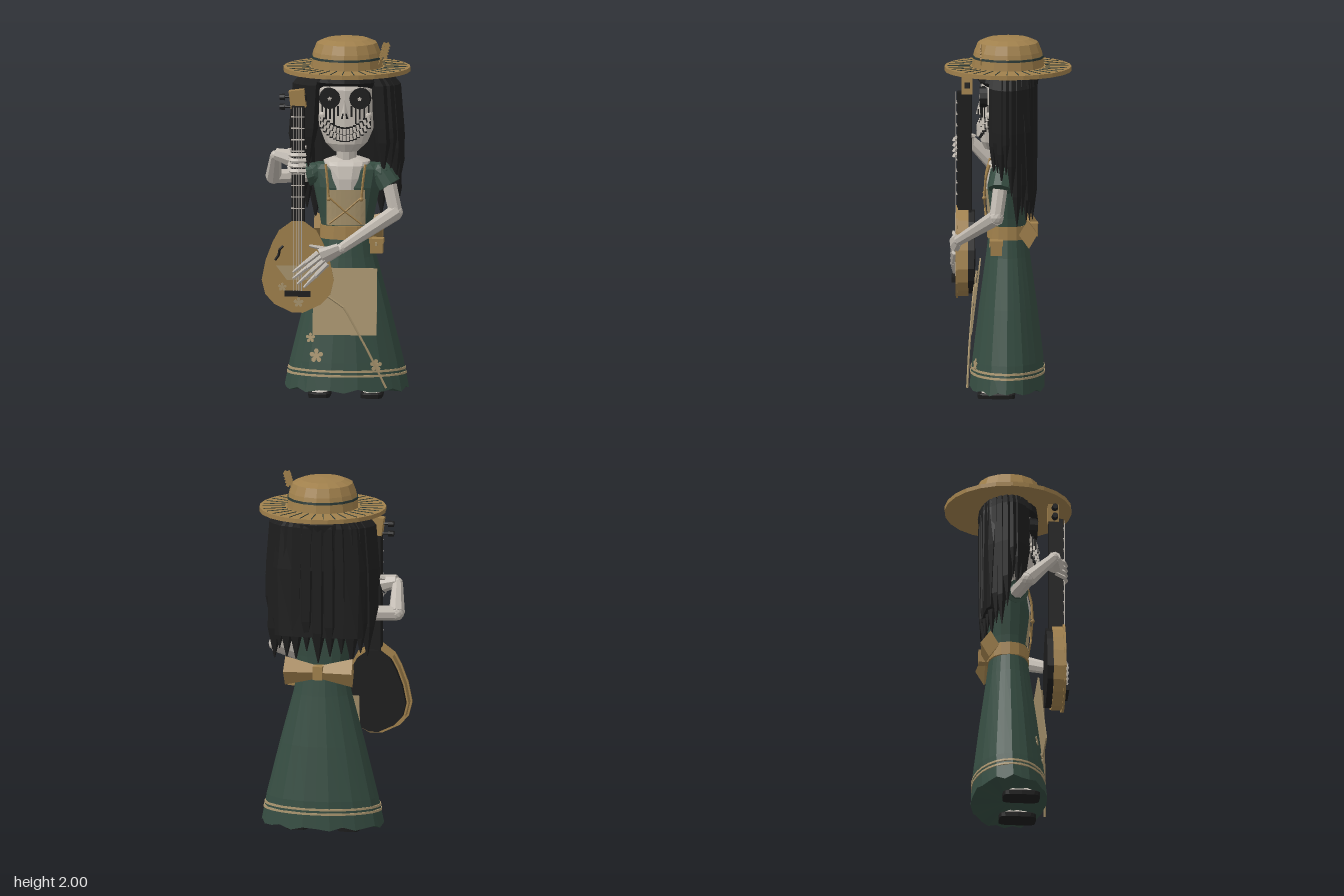
import * as THREE from 'three';

const V = (x, y, z) => new THREE.Vector3(x, y, z);
const mat = (name, color) => { const m = new THREE.MeshStandardMaterial({ color }); m.name = name; return m; };
const CX = 0.05; // the figure stands slightly off centre, the lute balances it

// Faceted copy of a geometry
function flat(g) {
  const f = g.index ? g.toNonIndexed() : g;
  f.computeVertexNormals();
  return f;
}
function add(parent, name, geo, material, x = 0, y = 0, z = 0) {
  const m = new THREE.Mesh(flat(geo), material);
  m.name = name;
  m.position.set(x, y, z);
  parent.add(m);
  return m;
}
const box = (p, name, m, w, h, d, x, y, z) => add(p, name, new THREE.BoxGeometry(w, h, d), m, x, y, z);

// Tapered bar between two points
function limb(p, name, m, a, b, r1, r2, sides = 7) {
  const d = b.clone().sub(a), c = a.clone().add(b).multiplyScalar(0.5);
  const o = add(p, name, new THREE.CylinderGeometry(r2, r1, d.length(), sides), m, c.x, c.y, c.z);
  o.quaternion.setFromUnitVectors(V(0, 1, 0), d.normalize());
  return o;
}
const ball = (p, name, m, c, r) => add(p, name, new THREE.IcosahedronGeometry(r, 1), m, c.x, c.y, c.z);
function cord(p, name, m, pts, r) {
  const c = new THREE.CatmullRomCurve3(pts, false, 'catmullrom', 0.1);
  return add(p, name, new THREE.TubeGeometry(c, pts.length * 4, r, 4), m);
}

// Cross-section [y, rx, rz, cx, cz], rounded-square with power p
function pt([y, rx, rz, cx = 0, cz = 0], a, p, k = 1) {
  const f = v => Math.sign(v) * Math.pow(Math.abs(v), 2 / p) * k;
  return V(cx + rx * f(Math.cos(a)), y, cz + rz * f(Math.sin(a)));
}
// Skin over sections listed from bottom to top
function loft(secs, n = 16, p = 2, pleat = 0) {
  const pos = [], tri = (...v) => v.forEach(q => pos.push(q.x, q.y, q.z));
  const rings = secs.map((s, j) => Array.from({ length: n }, (_, i) => {
    const q = pt(s, i / n * Math.PI * 2, p, 1 - (i % 2) * pleat);
    if (pleat && j === 0) q.y += 0.012 * Math.sin(i * 2.4);
    return q;
  }));
  const mid = s => V(s[3] || 0, s[0], s[4] || 0), last = secs.length - 1;
  for (let i = 0; i < n; i++) {
    const k = (i + 1) % n;
    for (let j = 0; j < last; j++) {
      const A = rings[j], B = rings[j + 1];
      tri(A[i], B[i], B[k]);
      tri(A[i], B[k], A[k]);
    }
    tri(mid(secs[0]), rings[0][i], rings[0][k]);
    tri(mid(secs[last]), rings[last][k], rings[last][i]);
  }
  return new THREE.BufferGeometry().setAttribute('position', new THREE.Float32BufferAttribute(pos, 3));
}
function sectionAt(secs, y) {
  let j = 0;
  while (j < secs.length - 2 && secs[j + 1][0] < y) j++;
  const a = secs[j], b = secs[j + 1], t = THREE.MathUtils.clamp((y - a[0]) / (b[0] - a[0]), 0, 1);
  return [0, 1, 2, 3, 4].map(i => THREE.MathUtils.lerp(a[i] || 0, b[i] || 0, t));
}
// Front surface depth of a loft
function zAt(secs, x, y, p) {
  const s = sectionAt(secs, y), u = Math.min(Math.abs(x / s[1]), 0.97);
  return s[4] + s[2] * Math.pow(1 - Math.pow(u, p), 1 / p);
}
// Cloth panel draped over a loft
function drape(secs, p, x0, x1, y0, y1, off) {
  const g = new THREE.PlaneGeometry(x1 - x0, y1 - y0, 8, 4).translate((x0 + x1) / 2, (y0 + y1) / 2, 0), q = g.attributes.position;
  for (let i = 0; i < q.count; i++) q.setZ(i, zAt(secs, q.getX(i), q.getY(i), p) + off);
  return g;
}
// Five-petalled plate
function petals(R) {
  const pts = Array.from({ length: 40 }, (_, i) => {
    const a = i / 40 * Math.PI * 2, r = R * (0.3 + 0.7 * Math.sqrt(Math.abs(Math.cos(2.5 * a))));
    return new THREE.Vector2(r * Math.sin(a), r * Math.cos(a));
  });
  return new THREE.ExtrudeGeometry(new THREE.Shape(pts), { depth: 0.004, bevelEnabled: false });
}

export function createModel() {
  const root = new THREE.Group(), fig = new THREE.Group();
  root.name = 'skeletonMusician'; fig.name = 'figure';
  fig.position.x = CX;
  root.add(fig);
  const straw = mat('straw', 0xa0804c), green = mat('dressGreen', 0x364d42), black = mat('black', 0x1d1d1d),
    bone = mat('bone', 0xc2bbb2), linen = mat('linen', 0xa8946e), band = mat('darkGreen', 0x2c3a36);
  linen.side = THREE.DoubleSide;

  // Hat
  add(fig, 'hatBrim', new THREE.CylinderGeometry(0.352, 0.352, 0.024, 24), straw, 0, 1.823, 0);
  const crown = [[0.2, 1.83], [0.195, 1.885], [0.187, 1.92], [0.167, 1.97], [0.12, 1.99], [0, 2]].map(a => new THREE.Vector2(...a));
  add(fig, 'hatCrown', new THREE.LatheGeometry(crown, 16), straw);
  add(fig, 'hatBand', new THREE.CylinderGeometry(0.197, 0.199, 0.012, 16, 1), band, 0, 1.889, 0);
  for (let i = 0; i < 32; i++) {
    const a = i / 32 * Math.PI * 2;
    box(fig, 'brimStitch', band, 0.125, 0.004, 0.004, 0.272 * Math.cos(a), 1.836, 0.272 * Math.sin(a)).rotation.y = -a;
  }
  limb(fig, 'featherStem', straw, V(0.19, 1.87, 0.147), V(0.225, 1.99, 0.147), 0.004, 0.003, 4);
  for (let i = 0; i < 5; i++) for (const s of [-1, 1])
    box(fig, 'featherBarb', straw, 0.02, 0.026, 0.006, 0.213 + i * 0.004 + s * 0.01, 1.915 + i * 0.016, 0.147).rotation.z = s * 0.5;

  // Skull
  const head = [[1.375, 0.07, 0.07, 0, 0.06], [1.42, 0.118, 0.113, 0, 0.04], [1.5, 0.152, 0.14, 0, 0.015], [1.6, 0.165, 0.15], [1.72, 0.162, 0.15], [1.8, 0.13, 0.12]];
  const hz = (x, y) => zAt(head, x, y, 2.4);
  add(fig, 'skull', loft(head, 16, 2.4), bone);
  for (const s of [-1, 1]) {
    const ex = s * 0.083, ez = hz(ex, 1.68) + 0.008;
    add(fig, 'eyeSocket', new THREE.CylinderGeometry(0.058, 0.062, 0.045, 12).rotateX(Math.PI / 2), black, ex, 1.675, ez - 0.012);
    add(fig, 'eyeSpark', petals(0.012), bone, ex, 1.675, ez + 0.009);
    for (let i = 0; i < 5; i++) {
      const x = ex + (i - 2) * 0.023, h = [0.06, 0.1, 0.075, 0.11, 0.055][i];
      box(fig, 'tearStreak', black, 0.009, h, 0.006, x, 1.635 - h / 2, hz(x, 1.58) + 0.003);
    }
    limb(fig, 'nostril', black, V(s * 0.012, 1.565, 0.161), V(s * 0.008, 1.595, 0.164), 0.009, 0.004, 5);
    ball(fig, 'cheekbone', bone, V(s * 0.125, 1.575, hz(0.125, 1.575) - 0.012), 0.024);
  }
  add(fig, 'nose', new THREE.ConeGeometry(0.026, 0.1, 4), bone, 0, 1.615, 0.152);
  for (let i = -7; i <= 7; i++) {
    const x = i * 0.0185, y = 1.475 + 4 * x * x, z = hz(x, y);
    box(fig, 'mouth', black, 0.021, 0.082, 0.012, x, y, z);
    for (const s of [-1, 1])
      box(fig, 'tooth', bone, 0.0145, 0.03, 0.018, x, y + s * 0.0175, z + 0.01).rotation.z = x * 3;
  }
  add(fig, 'neck', loft([[1.25, 0.065, 0.06, 0, 0.02], [1.32, 0.055, 0.05, 0, 0.02], [1.42, 0.06, 0.055, 0, 0.02]], 10), bone);

  // Hair: cap plus pointed locks round the sides and back
  add(fig, 'hairCap', loft([[1.5, 0.19, 0.1, 0, -0.06], [1.7, 0.2, 0.12, 0, -0.04], [1.76, 0.195, 0.168], [1.815, 0.17, 0.16]], 16, 2.3), black);
  const lock = (a, end, w) => {
    const c = Math.cos(a), s = Math.sin(a), k = s > 0 ? 0.11 : 0.135;
    const sec = (y, r, x) => [y, r, r * 0.7, x * c, k * s];
    add(fig, 'hairLock', loft([sec(end, 0.003, 0.285), sec(end + 0.17, w * 0.9, 0.282), sec(1.5, w, 0.274), sec(1.74, w, 0.255), sec(1.815, w * 0.7, 0.205)], 6), black);
  };
  for (let i = 0; i <= 20; i++) {
    const a = 0.75 - i / 20 * (Math.PI + 1.5), back = Math.max(0, -Math.sin(a));
    lock(a, 1.25 - 0.245 * Math.min(1, back * 2.5) + 0.035 * Math.sin(i * 2.3), 0.046);
  }
  add(fig, 'backHair', loft([[1.12, 0.25, 0.035, 0, -0.115], [1.5, 0.26, 0.05, 0, -0.1], [1.74, 0.24, 0.07, 0, -0.08], [1.81, 0.19, 0.08, 0, -0.07]], 12, 2.4), black);

  // Dress
  const skirt = [[0.045, 0.345, 0.212, 0, 0.005], [0.2, 0.315, 0.2], [0.5, 0.24, 0.163], [0.78, 0.165, 0.124], [0.93, 0.135, 0.105]];
  add(fig, 'skirt', loft(skirt, 28, 2, 0.018), green);
  const bodice = [[0.9, 0.135, 0.1], [1.0, 0.15, 0.105], [1.17, 0.185, 0.118], [1.27, 0.205, 0.1], [1.295, 0.18, 0.075]];
  add(fig, 'bodice', loft(bodice, 16, 2.5), green);
  for (const y of [0.13, 0.155]) {
    const edge = h => { const s = sectionAt(skirt, h); return [h, s[1] * 1.012, s[2] * 1.012, 0, s[4]]; };
    add(fig, 'hemStripe', loft([edge(y - 0.006), edge(y + 0.006)], 28), linen);
  }
  // Flat apron hanging in front of the skirt
  const apron = box(fig, 'apron', linen, 0.355, 0.372, 0.008, 0.003, 0.545, 0.178);
  apron.rotation.x = -0.12;
  box(apron, 'apronPocket', linen, 0.12, 0.09, 0.009, -0.053, 0.01, 0.007);
  add(fig, 'bib', drape(bodice, 2.5, -0.105, 0.11, 0.96, 1.16, 0.008), linen);
  cord(fig, 'apronCord', linen, [V(-0.16, 0.66, 0.175), V(-0.1, 0.58, 0.188), V(0.0, 0.51, 0.195), V(0.13, 0.28, 0.212), V(0.235, 0.07, 0.222)], 0.006);
  for (const [x, y, r] of [[-0.155, 0.24, 0.04], [-0.19, 0.335, 0.028], [0.175, 0.19, 0.034]]) {
    const f = add(fig, 'skirtFlower', petals(r), linen, x, y, zAt(skirt, x, y, 2) + 0.009);
    f.rotation.set(-0.13, x * 1.6, 0);
  }

  // Chest, straps and lacing
  add(fig, 'chest', loft([[1.13, 0.09, 0.124], [1.22, 0.1, 0.124], [1.29, 0.125, 0.108], [1.31, 0.13, 0.085], [1.33, 0.075, 0.055]], 14, 2.8), bone);
  for (const s of [-1, 1]) {
    cord(fig, 'strap', straw, [V(s * 0.11, 1.3, 0.1), V(s * 0.1, 1.22, 0.122), V(s * 0.09, 1.11, 0.13)], 0.007);
    cord(fig, 'lacing', straw, [V(s * 0.09, 1.12, 0.13), V(0, 1.04, 0.128), V(-s * 0.09, 0.97, 0.118)], 0.005);
    ball(fig, 'strapButton', straw, V(s * 0.09, 1.11, 0.13), 0.012);
  }

  // Belt, pouch and back bow
  add(fig, 'belt', loft([[0.88, 0.15, 0.117], [0.955, 0.148, 0.113]], 16, 2.3), straw);
  box(fig, 'pouch', straw, 0.07, 0.065, 0.065, 0.17, 0.835, 0.062);
  box(fig, 'pouchFlap', straw, 0.08, 0.028, 0.074, 0.17, 0.872, 0.062);
  box(fig, 'pouchClasp', linen, 0.012, 0.02, 0.006, 0.17, 0.857, 0.1);
  for (const s of [-1, 1])
    limb(fig, 'bowLoop', straw, V(0, 0.92, -0.125), V(s * 0.19, 0.92, -0.115), 0.035, 0.08, 4).scale.z = 0.65;
  box(fig, 'bowKnot', straw, 0.055, 0.075, 0.08, 0, 0.92, -0.125);

  // Legs and shoes
  for (const s of [-1, 1]) {
    limb(fig, 'leg', bone, V(s * 0.14, 0.03, 0.03), V(s * 0.08, 0.6, 0), 0.035, 0.04);
    add(fig, 'shoe', loft([[0, 0.06, 0.103], [0.022, 0.062, 0.105], [0.03, 0.055, 0.095]], 16, 5), black, s * 0.145, 0, 0.062);
    add(fig, 'footTop', loft([[0.03, 0.05, 0.088], [0.05, 0.035, 0.06]], 12, 3), bone, s * 0.145, 0, 0.058);
  }

  // Sleeves and arms
  const arm = (name, sh, cuff, el, wr) => {
    limb(root, name + 'Sleeve', green, sh, cuff, 0.06, 0.066, 9);
    ball(root, name + 'Shoulder', green, sh, 0.06);
    limb(root, name + 'UpperArm', bone, cuff, el, 0.042, 0.04, 8);
    ball(root, name + 'Elbow', bone, el, 0.042);
    limb(root, name + 'Forearm', bone, el, wr, 0.046, 0.03, 8);
    ball(root, name + 'Wrist', bone, wr, 0.03);
  };
  arm('left', V(0.245, 1.25, 0.03), V(0.29, 1.18, 0.04), V(0.325, 1.03, 0.06), V(0.04, 0.855, 0.27));
  arm('right', V(-0.135, 1.24, 0.03), V(-0.17, 1.23, 0.035), V(-0.35, 1.225, 0.085), V(-0.328, 1.365, 0.225));
  // Strumming hand
  limb(root, 'leftPalm', bone, V(0.03, 0.855, 0.278), V(-0.07, 0.81, 0.298), 0.035, 0.052, 8).scale.z = 0.5;
  [[-0.225, 0.725], [-0.225, 0.69], [-0.2, 0.66], [-0.165, 0.64]].forEach(([x, y], i) => {
    const a = V(-0.085 + i * 0.017, 0.835 - i * 0.02, 0.299), b = V((a.x + x) / 2, (a.y + y) / 2, 0.31);
    limb(root, 'leftFinger', bone, a, b, 0.016, 0.013, 6);
    limb(root, 'leftFingertip', bone, b, V(x, y, 0.302), 0.014, 0.007, 6);
  });
  limb(root, 'leftThumb', bone, V(-0.02, 0.85, 0.292), V(-0.135, 0.875, 0.304), 0.016, 0.008, 6);
  // Fretting hand wrapped round the neck
  limb(root, 'rightPalm', bone, V(-0.328, 1.375, 0.228), V(-0.245, 1.355, 0.24), 0.034, 0.05, 8);
  for (let i = 0; i < 4; i++) {
    const y = 1.29 + i * 0.03;
    cord(root, 'rightFinger', bone, [V(-0.25, y + 0.02, 0.24), V(-0.24, y, 0.29), V(-0.2, y, 0.302), V(-0.155, y, 0.288)], 0.013);
  }
  limb(root, 'rightThumb', bone, V(-0.26, 1.39, 0.215), V(-0.16, 1.41, 0.19), 0.016, 0.01, 6);

  // Lute
  const lute = new THREE.Group();
  lute.name = 'lute';
  lute.position.x = -0.2;
  root.add(lute);
  const half = [[0.03, 0.497], [0.13, 0.545], [0.18, 0.6], [0.2, 0.68], [0.178, 0.79], [0.14, 0.89], [0.105, 0.955], [0.03, 1.01]];
  const pear = [...half, ...half.map(([x, y]) => [-x, y]).reverse()];
  const slab = (name, m, k, z0, z1) => add(lute, name, new THREE.ExtrudeGeometry(
    new THREE.Shape(pear.map(([x, y]) => new THREE.Vector2(x * k, 0.74 + (y - 0.74) * k))), { depth: z1 - z0, bevelEnabled: false }), m, 0, 0, z0);
  slab('luteBack', black, 0.9, 0.188, 0.222);
  slab('luteSides', straw, 0.95, 0.222, 0.28);
  slab('soundboard', straw, 1, 0.28, 0.292);
  box(lute, 'neck', black, 0.07, 0.72, 0.08, 0, 1.29, 0.245);
  box(lute, 'headstock', straw, 0.085, 0.1, 0.06, -0.005, 1.685, 0.23).rotation.z = 0.13;
  for (const y of [1.64, 1.695]) {
    limb(lute, 'pegShaft', black, V(-0.03, y, 0.235), V(-0.075, y, 0.235), 0.007, 0.007, 6);
    limb(lute, 'peg', black, V(-0.075, y, 0.235), V(-0.105, y, 0.235), 0.019, 0.016, 8);
  }
  box(lute, 'sidePeg', black, 0.01, 0.035, 0.03, 0.038, 1.69, 0.23).rotation.z = 0.13;
  for (let i = 0; i < 9; i++) box(lute, 'fret', bone, 0.074, 0.006, 0.006, 0, 1.08 + i * 0.064, 0.287);
  for (let i = 0; i < 4; i++) box(lute, 'string', bone, 0.004, 1.04, 0.003, (i - 1.5) * 0.014, 1.125, 0.295);
  box(lute, 'bridge', black, 0.145, 0.03, 0.028, 0, 0.605, 0.302);
  const guard = new THREE.Shape([[-0.12, 0.76], [0.13, 0.76], [0.06, 0.68], [-0.06, 0.68]].map(a => new THREE.Vector2(...a)));
  add(lute, 'pickGuard', new THREE.ShapeGeometry(guard), linen, 0, 0, 0.2945);
  cord(lute, 'soundHole', black, [V(-0.125, 0.79, 0.292), V(-0.105, 0.82, 0.292), V(-0.1, 0.85, 0.292), V(-0.08, 0.87, 0.292)], 0.007);
  add(lute, 'luteFlower', petals(0.028), linen, 0.005, 0.555, 0.291);
  add(lute, 'luteFlower', petals(0.024), linen, -0.085, 0.64, 0.291);
  return root;
}
